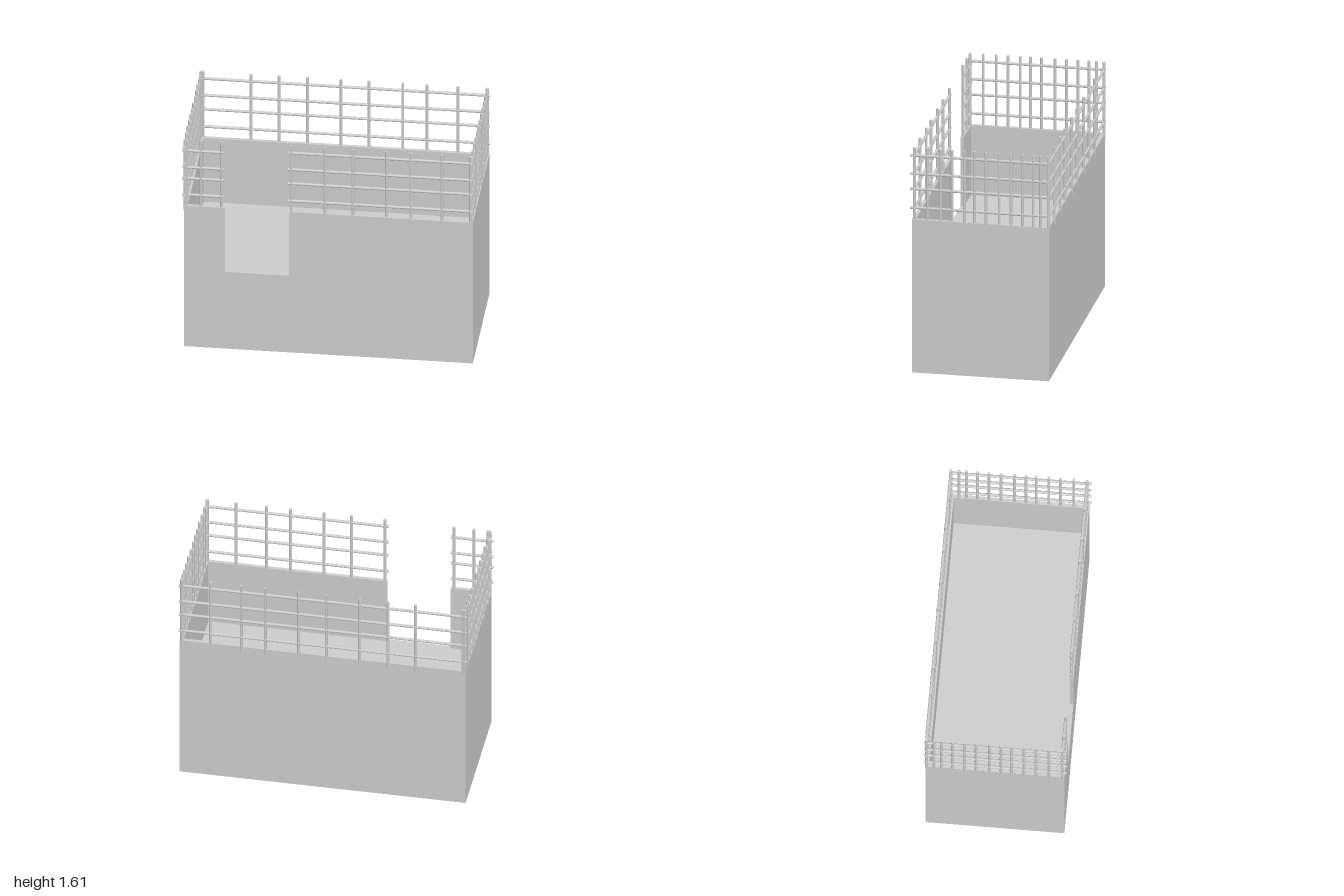
import * as THREE from 'three';

const LEFT = 0.985, RIGHT = -0.985, FRONT = 0.465, BACK = -0.48;
const FLOOR = 0.6, RIM = 1.1, TOP = 1.61, WALL = 0.025, ROD = 0.01;
const material = new THREE.MeshStandardMaterial({ color: 0xcccccc, flatShading: true });
const openMaterial = new THREE.MeshStandardMaterial({ color: 0xcccccc, flatShading: true, side: THREE.DoubleSide });
const rodMaterial = new THREE.MeshStandardMaterial({ color: 0xcccccc });

export function createModel() {
  const model = new THREE.Group();
  model.name = 'walledRoofTerrace';

  // Lower storey: hollow, open underneath, its lid is the terrace floor
  const skirt = new THREE.BoxGeometry(LEFT - RIGHT, FLOOR, FRONT - BACK);
  const index = Array.from(skirt.index.array);
  index.splice(18, 6); // drop the bottom face
  skirt.setIndex(index);
  skirt.clearGroups();
  const base = new THREE.Mesh(skirt, openMaterial);
  base.name = 'hollowBase';
  base.position.set(0, FLOOR / 2, (FRONT + BACK) / 2);
  model.add(base);

  // Parapet walls, with a gap in the front one
  const wall = (name, x0, x1, z0, z1) => {
    const mesh = new THREE.Mesh(new THREE.BoxGeometry(x1 - x0, RIM - FLOOR, z1 - z0), material);
    mesh.name = name;
    mesh.position.set((x0 + x1) / 2, (RIM + FLOOR) / 2, (z0 + z1) / 2);
    model.add(mesh);
  };
  wall('backWall', RIGHT, LEFT, BACK, BACK + WALL);
  wall('leftWall', LEFT - WALL, LEFT, BACK + WALL, FRONT - WALL);
  wall('rightWall', RIGHT, RIGHT + WALL, BACK + WALL, FRONT - WALL);
  wall('frontWallLong', -0.27, LEFT, FRONT - WALL, FRONT);
  wall('frontWallShort', RIGHT, -0.71, FRONT - WALL, FRONT);

  // A round bar between two points
  const up = new THREE.Vector3(0, 1, 0);
  const rod = (group, name, a, b) => {
    const dir = b.clone().sub(a);
    const mesh = new THREE.Mesh(new THREE.CylinderGeometry(ROD, ROD, dir.length(), 10), rodMaterial);
    mesh.name = name;
    mesh.position.copy(a).add(b).multiplyScalar(0.5);
    mesh.quaternion.setFromUnitVectors(up, dir.normalize());
    group.add(mesh);
  };

  // Fence panel of uprights and rails; at(s, y) maps a place along it to space
  const fence = (name, at, uprights, rails, start, end, foot = RIM - 0.04) => {
    const group = new THREE.Group();
    group.name = name;
    uprights.forEach((s) => rod(group, 'upright', at(s, foot), at(s, TOP)));
    rails.forEach((y) => rod(group, 'rail', at(start, y), at(end, y)));
    model.add(group);
  };
  const alongX = (z) => (s, y) => new THREE.Vector3(s, y, z);
  const alongZ = (x) => (s, y) => new THREE.Vector3(x, y, s);

  const rails = [1.18, 1.315, 1.425, 1.555];
  const longUprights = [-0.255, -0.025, 0.165, 0.395, 0.56, 0.772];
  const sideUprights = [0.45, 0.36, 0.27, 0.19, 0.105, 0.035, -0.043, -0.135, -0.215, -0.295, -0.37, -0.42, -0.473];

  fence('backFence', alongX(-0.475), [-0.965, -0.64, -0.45, ...longUprights, 0.968], rails, -0.995, 0.99);
  fence('frontFenceLong', alongX(0.45), [...longUprights, 0.968], rails, -0.28, 0.985);
  fence('frontFenceShort', alongX(0.45), [-0.965, -0.87, -0.73], [1.18, 1.308, 1.395, 1.525], -1, -0.71);
  fence('leftFence', alongZ(0.972), sideUprights, rails, 0.48, -0.48);
  fence('rightFence', alongZ(-0.979), sideUprights, rails, 0.48, -0.48);

  return model;
}
